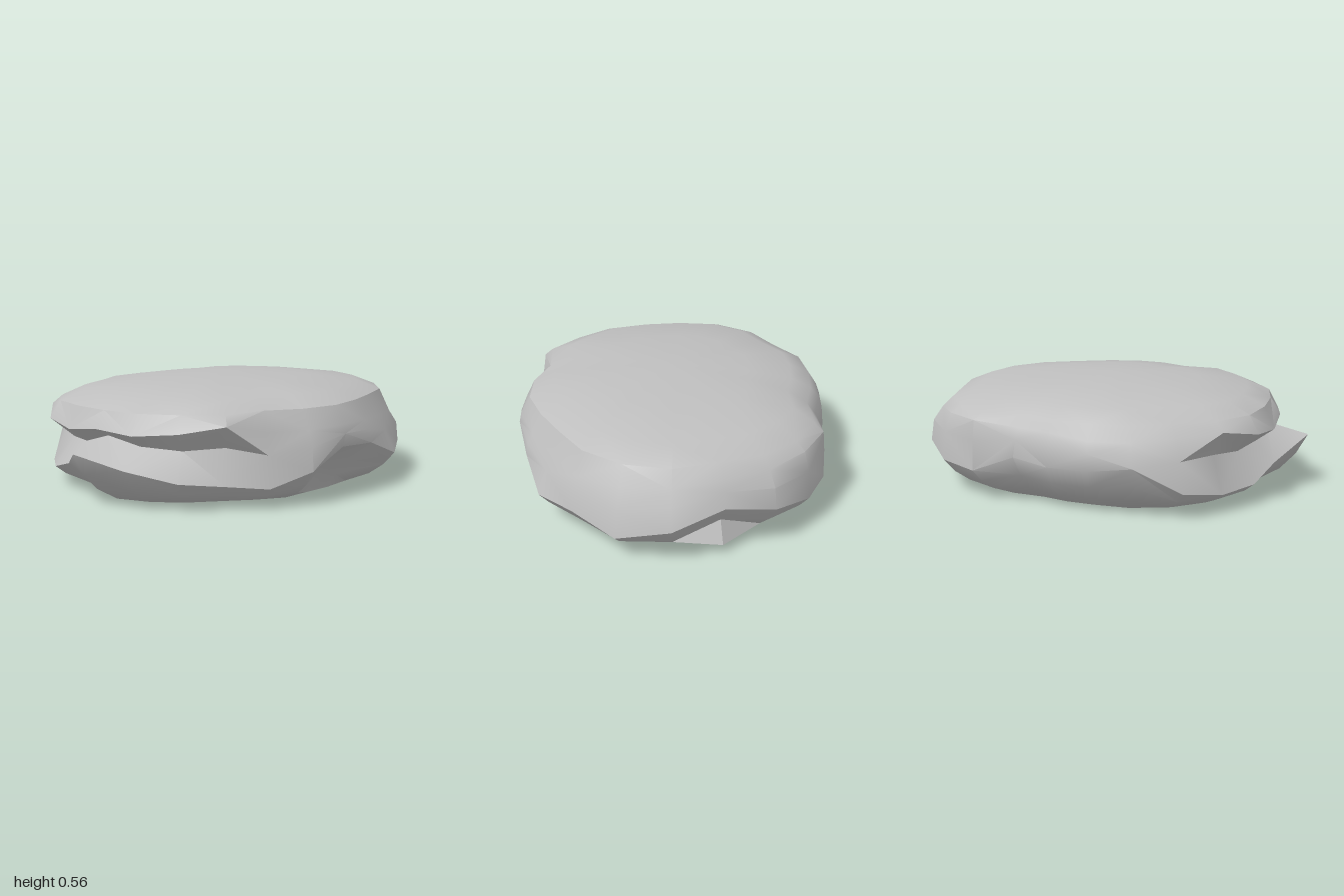
import * as THREE from 'three';
import { toCreasedNormals } from 'three/addons/utils/BufferGeometryUtils.js';

// Radii every 15 degrees, from +x towards +z
const BELT = [0.95, 1.03, 1.01, 0.95, 0.92, 0.85, 0.81, 0.83, 0.8, 0.8, 0.86, 0.94,
  1.0, 0.87, 0.87, 0.87, 0.9, 0.85, 0.79, 0.77, 0.765, 0.855, 0.92, 0.965];
const GROOVE = [0.92, 0.99, 0.98, 0.94, 0.87, 0.84, 0.825, 0.82, 0.77, 0.75, 0.77, 0.79,
  0.78, 0.77, 0.77, 0.8, 0.86, 0.83, 0.79, 0.76, 0.75, 0.85, 0.91, 0.95];
const LIP = [0.89, 0.94, 0.94, 0.9, 0.83, 0.81, 0.815, 0.79, 0.75, 0.855, 0.85, 0.865,
  0.855, 0.865, 0.89, 0.87, 0.8, 0.81, 0.77, 0.74, 0.73, 0.84, 0.88, 0.9];

// Heights of the widest lower edge and of the crown's lower lip
const BELT_Y = [0.26, 0.2, 0.13, 0.18, 0.16, 0.25, 0.26, 0.17, 0.1, 0.12, 0.14, 0.2,
  0.26, 0.16, 0.1, 0.09, 0.13, 0.25, 0.22, 0.22, 0.24, 0.15, 0.16, 0.21];
const LIP_Y = [0.38, 0.37, 0.36, 0.34, 0.35, 0.36, 0.37, 0.36, 0.36, 0.41, 0.37, 0.35,
  0.36, 0.33, 0.35, 0.39, 0.37, 0.36, 0.36, 0.38, 0.38, 0.4, 0.4, 0.39];

// Underside rings: share of the belt height, scale of the belt
const UNDERSIDE = [[0, 0.73], [0.28, 0.86], [0.6, 0.94], [1, 1]];
// Crown rings: height, scale of the lip
const CROWN = [[0.445, 0.94], [0.497, 0.8], [0.53, 0.5]];

function rockGeometry() {
  const n = BELT.length;
  const rings = UNDERSIDE.length + 2 + CROWN.length;
  const positions = [];
  const index = [];
  const addRing = (radius, height) => {
    for (let i = 0; i < n; i++) {
      const a = (i / n) * Math.PI * 2;
      const r = radius(i);
      positions.push(r * Math.cos(a), height(i, r * Math.sin(a)), r * Math.sin(a));
    }
  };
  UNDERSIDE.forEach(([share, scale], j) => {
    const inner = j === 1 || j === 2;
    addRing((i) => {
      // Small foot on the +x side and an undercut at the front
      if (inner && i === 0) return j === 1 ? 0.92 : 0.87;
      return BELT[i] * scale * (inner && (i === 5 || i === 6) ? 0.9 : 1);
    }, (i) => (j === 1 && i === 0 ? 0.045 : BELT_Y[i] * share));
  });
  addRing((i) => GROOVE[i], (i) => THREE.MathUtils.lerp(BELT_Y[i], LIP_Y[i], 0.6));
  addRing((i) => LIP[i], (i) => LIP_Y[i]);
  // Crown tilted down slightly towards the back
  CROWN.forEach(([y, scale]) => addRing((i) => LIP[i] * scale, (i, z) => y + 0.018 * z));

  const last = (rings - 1) * n;
  const bottom = rings * n;
  positions.push(0, 0, 0, 0, 0.562, 0);
  for (let i = 0; i < n; i++) {
    const k = (i + 1) % n;
    for (let j = 0; j < rings - 1; j++) {
      const a = j * n + i, b = j * n + k, c = a + n, d = b + n;
      // Alternate the diagonal for irregular facets
      if ((i + j) % 2) index.push(a, c, b, b, c, d);
      else index.push(a, c, d, a, d, b);
    }
    index.push(i, k, bottom, last + i, bottom + 1, last + k);
  }
  const g = new THREE.BufferGeometry();
  g.setAttribute('position', new THREE.Float32BufferAttribute(positions, 3));
  g.setIndex(index);
  return toCreasedNormals(g, 0.65);
}

export function createModel() {
  const group = new THREE.Group();
  group.name = 'flatRock';
  const stone = new THREE.MeshStandardMaterial({ color: 0xbfbfbf });
  stone.name = 'stone grey';
  const rock = new THREE.Mesh(rockGeometry(), stone);
  rock.name = 'rock';
  group.add(rock);
  return group;
}
